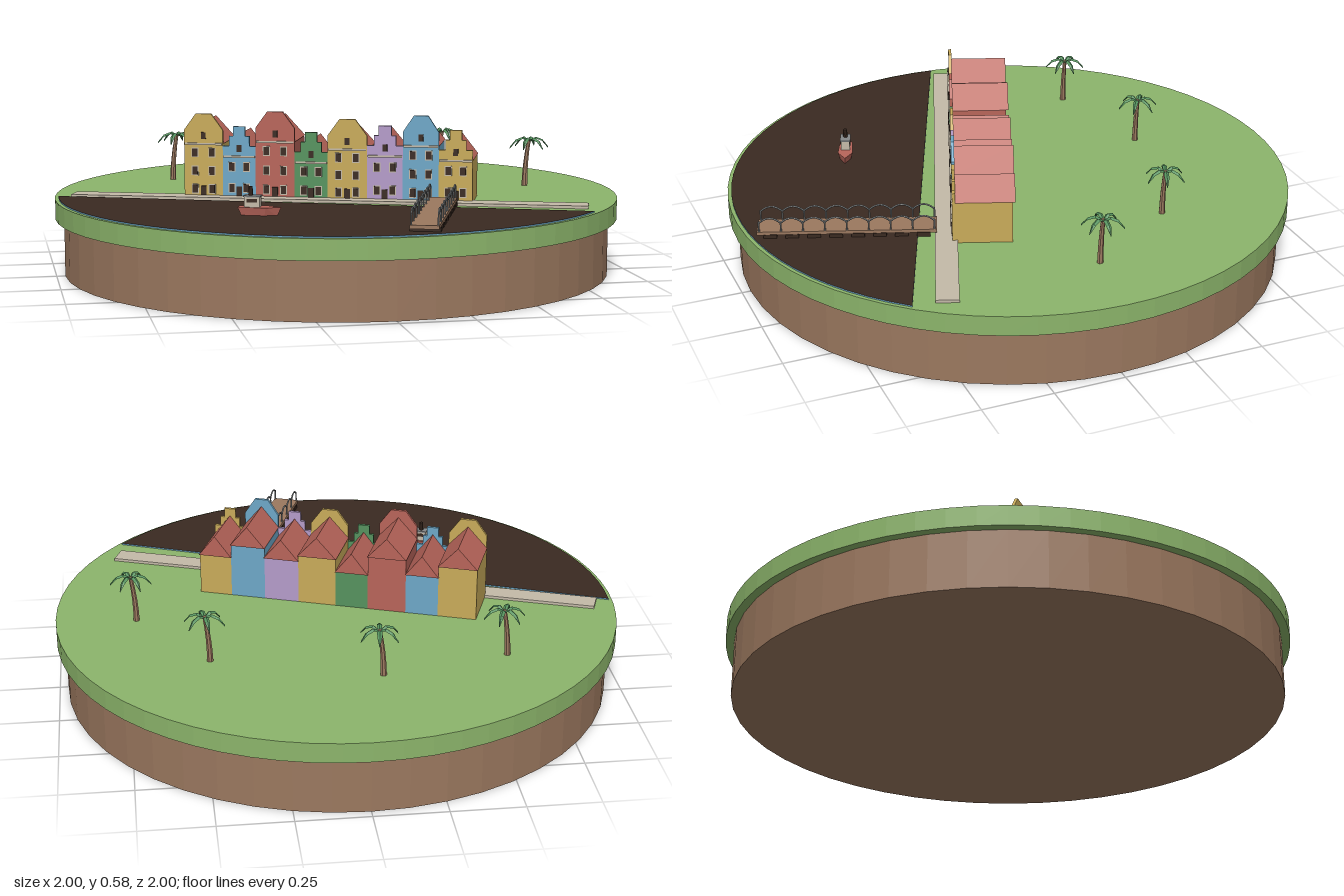
import * as THREE from 'three';

const paint = (name, color) => {
  const m = new THREE.MeshStandardMaterial({ color, flatShading: true, side: THREE.DoubleSide });
  m.name = name;
  return m;
};

export function createModel() {
  const grass = paint('grass green', 0x8cb56b);
  const soil = paint('earth brown', 0x9b785f);
  const dark = paint('dark brown', 0x3a2a21);
  const stone = paint('pale stone', 0xc4baa8);
  const yellow = paint('ochre', 0xc9ab5a);
  const blue = paint('sky blue', 0x6ea8c8);
  const red = paint('brick red', 0xb8655a);
  const green = paint('leaf green', 0x56935f);
  const purple = paint('lilac', 0xb59cca);
  const grey = paint('metal grey', 0x85898a);

  const model = new THREE.Group();
  const GROUND = 0.27;

  const add = (parent, name, geo, mat, x = 0, y = 0, z = 0) => {
    const mesh = new THREE.Mesh(geo, mat);
    mesh.name = name;
    mesh.position.set(x, y, z);
    parent.add(mesh);
    return mesh;
  };
  const box = (parent, name, mat, w, h, d, x, y, z) =>
    add(parent, name, new THREE.BoxGeometry(w, h, d), mat, x, y, z);
  const group = (parent, name) => {
    const g = new THREE.Group();
    g.name = name;
    parent.add(g);
    return g;
  };
  const extrude = (points, depth) => new THREE.ExtrudeGeometry(
    new THREE.Shape(points.map(([x, y]) => new THREE.Vector2(x, y))),
    { depth, bevelEnabled: false });

  // Round island
  add(model, 'soilBase', new THREE.CylinderGeometry(0.97, 0.97, 0.2, 48), soil, 0, 0.1, 0);
  add(model, 'grassDisc', new THREE.CylinderGeometry(1, 1, 0.07, 64), grass, 0, 0.235, 0);

  // Harbour water: a circle segment with a blue rim
  const arc = [];
  for (let i = 0; i <= 32; i++) {
    const a = THREE.MathUtils.degToRad(40.1 + (183.9 - 40.1) * i / 32);
    arc.push([0.987 * Math.cos(a), 0.987 * Math.sin(a)]);
  }
  add(model, 'water', extrude(arc, 0.007).rotateX(Math.PI / 2), [dark, blue], 0, GROUND + 0.005, 0);

  // Everything along the shore shares one turned frame
  const shore = group(model, 'waterfront');
  shore.rotation.y = -THREE.MathUtils.degToRad(20.1);
  box(shore, 'quay', stone, 1.81, 0.02, 0.077, 0, GROUND, 0.226);

  // Terraced houses: width, wall top, colour, stepped gable or not
  const houses = [
    [0.138, 0.463, yellow, false], [0.117, 0.42, blue, true],
    [0.138, 0.474, red, false], [0.117, 0.404, green, true],
    [0.138, 0.452, yellow, false], [0.125, 0.431, purple, true],
    [0.125, 0.468, blue, false], [0.117, 0.42, yellow, true],
  ];
  const row = group(shore, 'houseRow');
  let left = -0.508;
  for (const [w, top, mat, stepped] of houses) {
    const house = group(row, 'house');
    house.position.set(left + w / 2, 0, 0);
    left += w;
    const h = top - GROUND;
    box(house, 'walls', mat, w, h, 0.196, 0, GROUND + h / 2, 0.1);

    // Gabled roof with its ridge running front to back
    const r = w / 2 + 0.002;
    add(house, 'roof', extrude([[-r, 0], [r, 0], [0, 0.077]], 0.202), red, 0, top, -0.006);

    // Front gable rising above the roof
    const half = stepped
      ? [[0.5, 0.035], [0.31, 0.035], [0.31, 0.07], [0.18, 0.07], [0.18, 0.104]]
      : [[0.5, 0.047], [0.2, 0.104]];
    const side = (s) => half.map(([x, y]) => [s * x * w, h + y]);
    const outline = [[-w / 2, 0], [w / 2, 0], ...side(1), ...side(-1).reverse()];
    add(house, 'facade', extrude(outline, 0.011), mat, 0, GROUND, 0.195);
    box(house, 'cornice', stone, w * 0.96, 0.007, 0.006, 0, top - 0.002, 0.208);

    // Windows and door
    const rows = h > 0.17 ? 3 : 2;
    const pitch = h / rows;
    for (let j = 0; j < rows; j++) {
      for (const s of [-1, 1]) {
        const y = GROUND + pitch * (j + 0.5);
        box(house, 'windowFrame', stone, 0.025, 0.034, 0.003, s * w * 0.22, y, 0.207);
        box(house, 'window', dark, 0.019, 0.028, 0.004, s * w * 0.22, y, 0.2085);
      }
    }
    box(house, 'door', dark, 0.02, 0.036, 0.004, 0, GROUND + 0.025, 0.208);
    box(house, 'atticWindow', dark, 0.017, 0.024, 0.004, 0, top + 0.027, 0.207);
  }

  // Floating pier with arched railings
  const pier = group(shore, 'pier');
  pier.position.set(0.412, 0, 0.56);
  box(pier, 'deck', soil, 0.094, 0.012, 0.606, 0, 0.292, 0);
  const bays = 8, bay = 0.59 / bays;
  for (let i = 0; i < bays; i++) {
    const z = -0.295 + bay * (i + 0.5);
    box(pier, 'float', dark, 0.1, 0.016, 0.045, 0, 0.28, z);
    for (const s of [-1, 1]) {
      const curve = new THREE.QuadraticBezierCurve3(
        new THREE.Vector3(0, 0.33, -bay / 2), new THREE.Vector3(0, 0.366, 0),
        new THREE.Vector3(0, 0.33, bay / 2));
      add(pier, 'railArch', new THREE.TubeGeometry(curve, 8, 0.0032, 5), grey, s * 0.043, 0, z);
    }
  }
  for (let i = 0; i <= bays; i++) {
    for (const s of [-1, 1]) {
      add(pier, 'railPost', new THREE.CylinderGeometry(0.003, 0.003, 0.042, 6), grey,
        s * 0.043, 0.314, -0.295 + bay * i);
    }
  }

  // Small boat
  const boat = group(shore, 'boat');
  boat.position.set(-0.17, GROUND, 0.588);
  const hull = extrude([[-0.065, -0.022], [0.03, -0.027], [0.078, 0], [0.03, 0.027], [-0.065, 0.022]], 0.03);
  hull.rotateX(Math.PI / 2);
  const p = hull.attributes.position;
  for (let i = 0; i < p.count; i++) { // Narrow the keel
    if (p.getY(i) < -0.01) p.setXYZ(i, p.getX(i) * 0.82, p.getY(i), p.getZ(i) * 0.7);
  }
  hull.computeVertexNormals();
  add(boat, 'hull', hull, red, 0, 0.032, 0);
  box(boat, 'cabin', stone, 0.052, 0.034, 0.032, -0.018, 0.049, 0);
  box(boat, 'cabinWindows', dark, 0.034, 0.012, 0.034, -0.018, 0.054, 0);
  box(boat, 'cabinRoof', grey, 0.058, 0.005, 0.037, -0.018, 0.068, 0);
  add(boat, 'funnel', new THREE.CylinderGeometry(0.007, 0.008, 0.03, 8), dark, -0.025, 0.085, 0);

  // Palm frond: a drooping, folded leaf built from cross-sections
  const sections = [[0, 0, 0.004], [0.025, 0.013, 0.009], [0.05, 0.004, 0.008], [0.072, -0.022, 0.001]];
  const verts = [], index = [];
  sections.forEach(([x, y, w], i) => {
    verts.push(x, y - 0.006, -w, x, y, 0, x, y - 0.006, w);
    if (i) {
      for (let k = 0; k < 2; k++) {
        const a = (i - 1) * 3 + k, b = a + 3;
        index.push(a, a + 1, b, a + 1, b + 1, b);
      }
    }
  });
  const frond = new THREE.BufferGeometry();
  frond.setAttribute('position', new THREE.Float32BufferAttribute(verts, 3));
  frond.setIndex(index);
  frond.computeVertexNormals();

  // Palms behind the houses
  [[-0.52, -0.45], [-0.08, -0.55], [0.49, -0.38], [0.73, -0.035]].forEach(([x, z], n) => {
    const palm = group(model, 'palm');
    palm.position.set(x, GROUND, z);
    const trunk = new THREE.CylinderGeometry(0.007, 0.011, 0.168, 7, 4);
    trunk.translate(0, 0.084, 0);
    const t = trunk.attributes.position;
    for (let i = 0; i < t.count; i++) { // Lean along a gentle curve
      t.setX(i, t.getX(i) - 0.015 + 0.015 * (t.getY(i) / 0.168) ** 2);
    }
    trunk.computeVertexNormals();
    add(palm, 'trunk', trunk, soil);
    for (let i = 0; i < 6; i++) {
      add(palm, 'frond', frond, green, 0, 0.166, 0).rotation.y = i * Math.PI / 3 + n * 0.3 + 0.1;
    }
  });

  return model;
}
